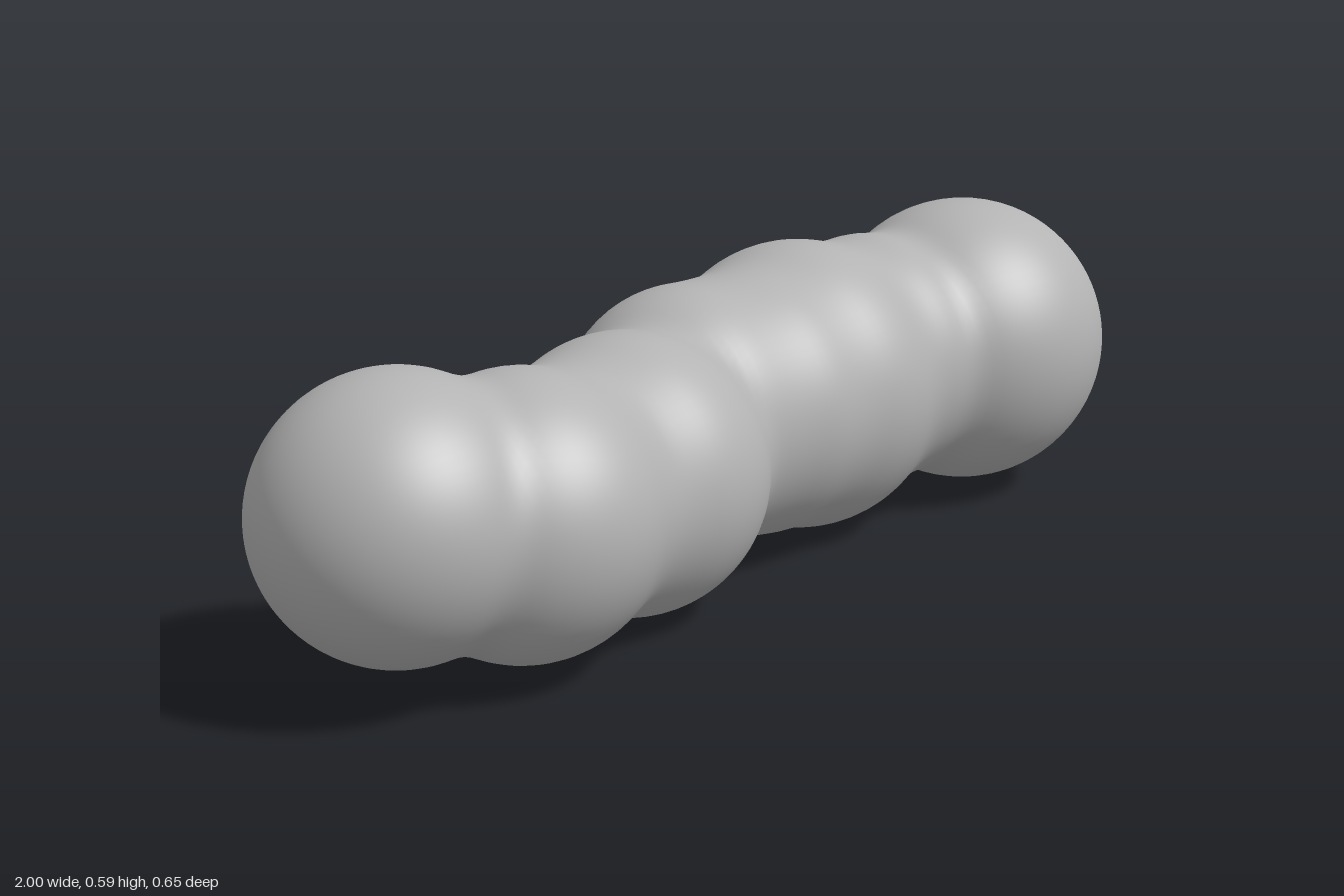
import * as THREE from 'three';

// Lobes of the body from right to left: x, y, z, radius
const LOBES = [
  [-0.757, 0.307, -0.002, 0.243],
  [-0.55, 0.27, 0.065, 0.247],
  [-0.4, 0.262, 0.037, 0.227],
  [-0.26, 0.257, 0.022, 0.253],
  [-0.01, 0.29, -0.053, 0.246],
  [0.13, 0.287, -0.035, 0.253],
  [0.29, 0.284, -0.048, 0.281],
  [0.48, 0.303, -0.02, 0.247],
  [0.713, 0.305, 0.038, 0.287],
];
const BLEND = 0.03;

// Softly blended distance to all lobes
function distance(x, y, z) {
  let d = Infinity;
  for (const [cx, cy, cz, r] of LOBES) {
    const e = Math.hypot(x - cx, y - cy, z - cz) - r;
    const h = Math.max(BLEND - Math.abs(d - e), 0);
    d = Math.min(d, e) - (h * h) / (4 * BLEND);
  }
  return d;
}

// Centre line through the lobes
function centreAt(x) {
  const last = LOBES.length - 1;
  if (x <= LOBES[0][0]) return [LOBES[0][1], LOBES[0][2]];
  if (x >= LOBES[last][0]) return [LOBES[last][1], LOBES[last][2]];
  const i = LOBES.findIndex((l) => l[0] > x);
  const a = LOBES[i - 1], b = LOBES[i];
  const t = (x - a[0]) / (b[0] - a[0]);
  return [a[1] + (b[1] - a[1]) * t, a[2] + (b[2] - a[2]) * t];
}

// Skin: rings around the centre line, pushed out to the blended lobes
function skinGeometry(rings, sides) {
  const points = [], index = [];
  for (let i = 0; i <= rings; i++) {
    const x = -Math.cos((Math.PI * i) / rings);
    const [cy, cz] = centreAt(x);
    const tip = i === 0 || i === rings;
    for (let j = 0; j < sides; j++) {
      const a = (j / sides) * Math.PI * 2, c = Math.cos(a), s = Math.sin(a);
      let low = 0, high = tip ? 0 : 0.45;
      for (let k = 0; k < 24; k++) {
        const mid = (low + high) / 2;
        if (distance(x, cy + c * mid, cz + s * mid) < 0) low = mid;
        else high = mid;
      }
      points.push(x, cy + c * low, cz + s * low);
      if (i === rings) continue;
      const p = i * sides + j, q = i * sides + ((j + 1) % sides);
      if (i > 0) index.push(p, q, p + sides);
      if (i < rings - 1) index.push(q, q + sides, p + sides);
    }
  }
  const geometry = new THREE.BufferGeometry();
  geometry.setAttribute('position', new THREE.Float32BufferAttribute(points, 3));
  geometry.setIndex(index);
  geometry.computeVertexNormals();
  // Straight normals at the two tips
  const n = geometry.attributes.normal;
  for (let j = 0; j < sides; j++) {
    n.setXYZ(j, -1, 0, 0);
    n.setXYZ(rings * sides + j, 1, 0, 0);
  }
  return geometry;
}

export function createModel() {
  const group = new THREE.Group();
  group.name = 'lobedChain';
  const grey = new THREE.MeshStandardMaterial({ color: 0xb3b3b3 });
  grey.name = 'grey';
  const body = new THREE.Mesh(skinGeometry(160, 72), grey);
  body.name = 'lobedBody';
  group.add(body);
  return group;
}
